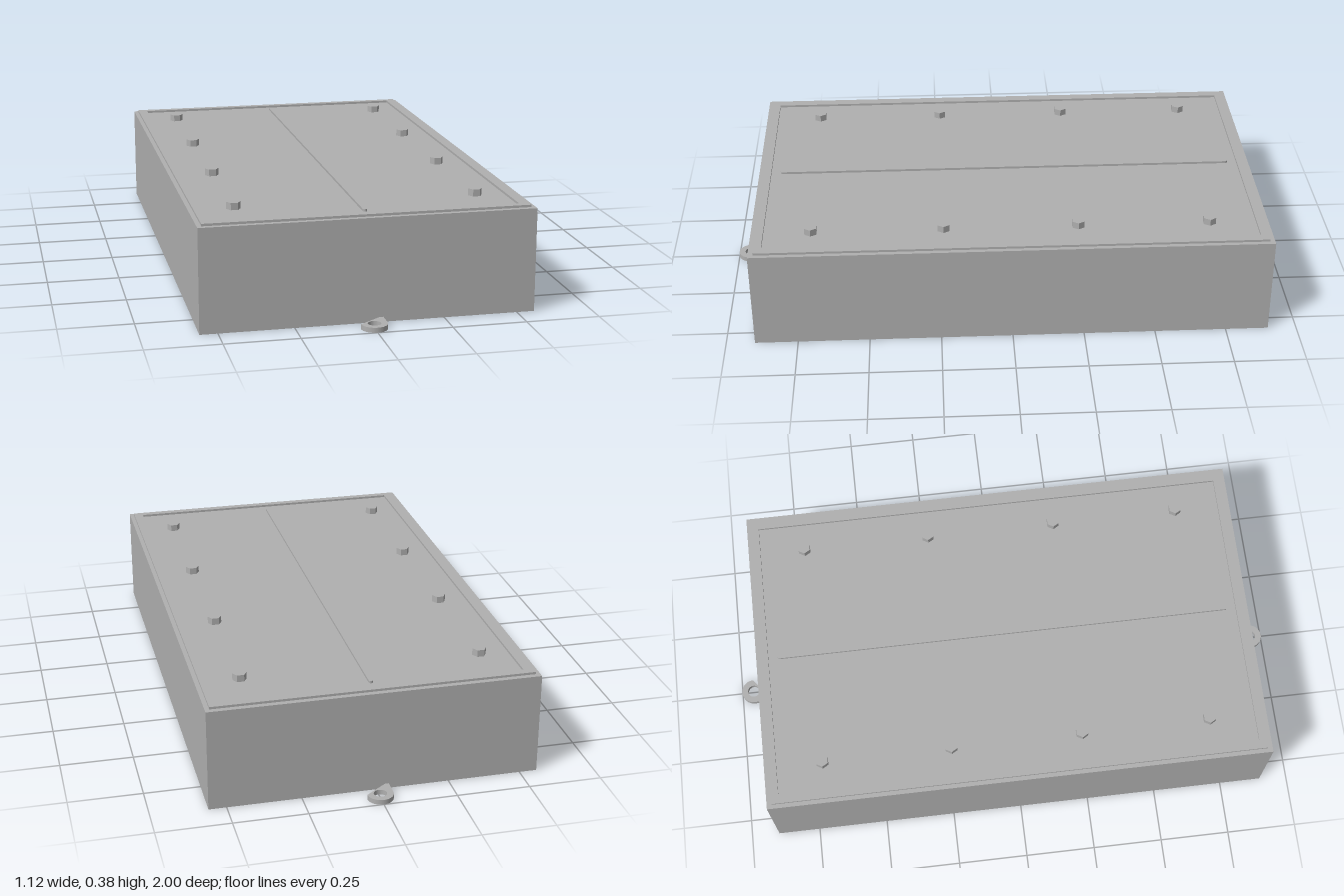
import * as THREE from 'three';

const BODY_TOP = 0.353, RIM_TOP = 0.361;

// Extrude a plan outline (x, -z) upward from height y
function slab(shape, y, height, curveSegments = 16) {
  const geo = new THREE.ExtrudeGeometry(shape, { depth: height, bevelEnabled: false, curveSegments });
  return geo.rotateX(-Math.PI / 2).translate(0, y, 0);
}

function rectangle(target, w, d) {
  target.moveTo(-w, -d);
  target.lineTo(w, -d);
  target.lineTo(w, d);
  target.lineTo(-w, d);
  target.closePath();
  return target;
}

export function createModel() {
  const model = new THREE.Group();
  model.name = 'enclosure';
  const grey = new THREE.MeshStandardMaterial({ color: 0xb0b0b0 });
  grey.name = 'grey metal';

  const add = (name, geometry) => {
    const mesh = new THREE.Mesh(geometry, grey);
    mesh.name = name;
    model.add(mesh);
    return mesh;
  };

  // Main box
  add('body', new THREE.BoxGeometry(1.12, BODY_TOP, 1.8).translate(0, BODY_TOP / 2, 0));

  // Raised frame around the sunken lid panel
  const frame = rectangle(new THREE.Shape(), 0.545, 0.882);
  frame.holes.push(rectangle(new THREE.Path(), 0.511, 0.856));
  add('lidRim', slab(frame, BODY_TOP, RIM_TOP - BODY_TOP));

  // Narrow round-ended rib along the middle of the lid
  const r = 0.007, end = 0.815;
  const rib = new THREE.Shape();
  rib.absarc(0, end, r, 0, Math.PI, false);
  rib.absarc(0, -end, r, Math.PI, Math.PI * 2, false);
  rib.closePath();
  add('centreRib', slab(rib, BODY_TOP, RIM_TOP - BODY_TOP, 6));

  // Hexagonal bolt heads in two rows
  const boltHeight = 0.377 - BODY_TOP;
  const bolt = new THREE.CylinderGeometry(0.024, 0.024, boltHeight, 6).toNonIndexed();
  bolt.computeVertexNormals();
  bolt.rotateY(Math.PI / 6);
  for (const x of [-0.411, 0.411]) {
    for (const z of [-0.693, -0.234, 0.234, 0.693]) {
      add('boltHead', bolt).position.set(x, BODY_TOP + boltHeight / 2, z);
    }
  }

  // Mounting lugs with a screw hole at both ends
  const lug = new THREE.Shape();
  lug.moveTo(0.044, 0.89);
  lug.absarc(0, 0.956, 0.044, 0, Math.PI, false);
  lug.lineTo(-0.044, 0.89);
  lug.closePath();
  const hole = new THREE.Path();
  hole.absarc(0, 0.956, 0.022, 0, Math.PI * 2, true);
  lug.holes.push(hole);
  const lugGeometry = slab(lug, 0, 0.017);
  add('backLug', lugGeometry);
  add('frontLug', lugGeometry).rotation.y = Math.PI;

  return model;
}
